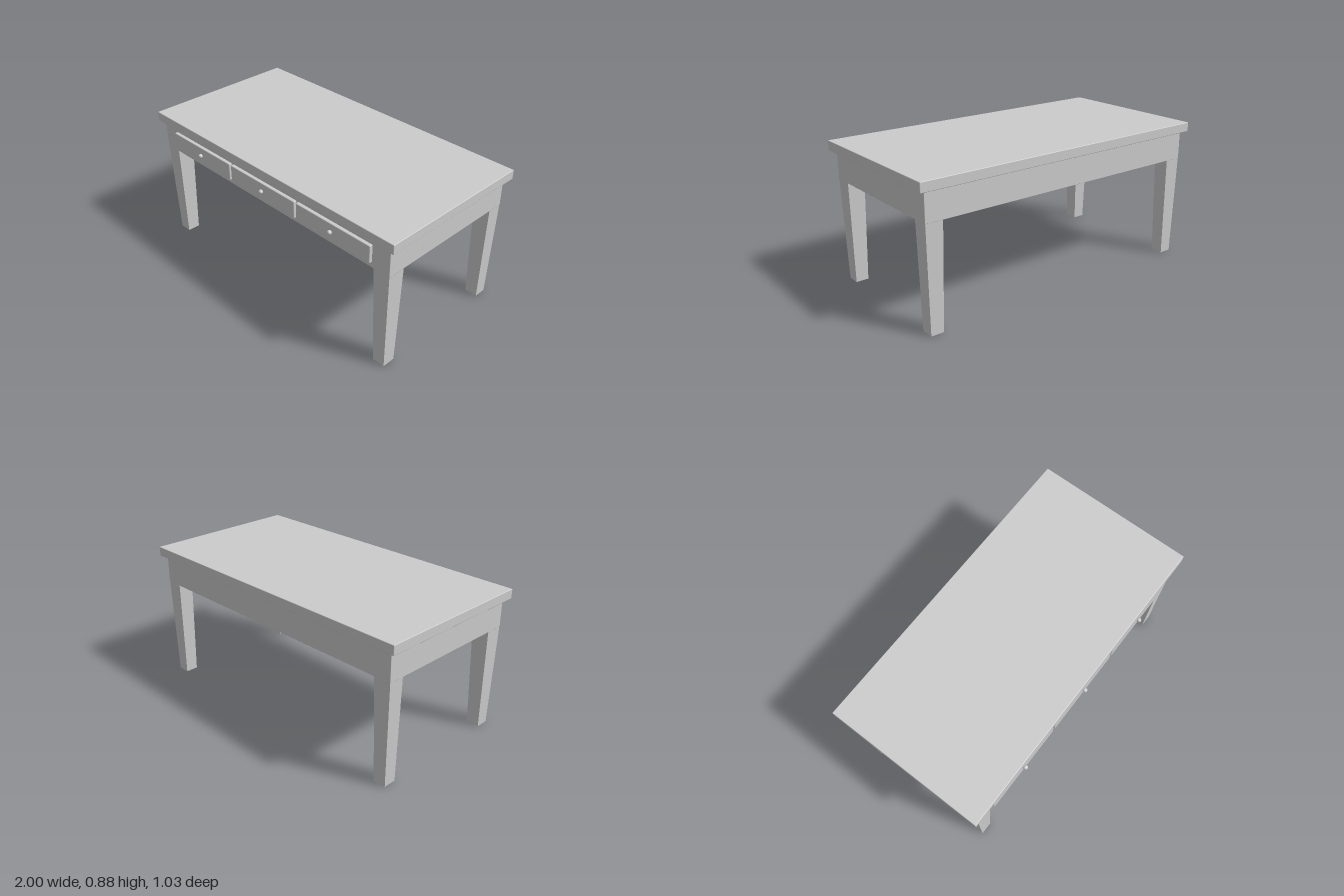
import * as THREE from 'three';
import { RoundedBoxGeometry } from 'three/addons/geometries/RoundedBoxGeometry.js';

const material = new THREE.MeshStandardMaterial({ color: 0xcccccc });

// Soft-edged box given by its minimum and maximum on each axis
function block(name, [x0, x1], [y0, y1], [z0, z1], radius) {
  const geometry = new RoundedBoxGeometry(x1 - x0, y1 - y0, z1 - z0, 2, radius);
  geometry.translate((x0 + x1) / 2, (y0 + y1) / 2, (z0 + z1) / 2);
  const mesh = new THREE.Mesh(geometry, material);
  mesh.name = name;
  return mesh;
}

// Leg whose cross-section narrows from top ranges to foot ranges
function taperedLeg(name, topX, topZ, footX, footZ, height) {
  const geometry = new RoundedBoxGeometry(1, height, 1, 2, 0.004);
  geometry.translate(0, height / 2, 0);
  const p = geometry.attributes.position;
  const { lerp } = THREE.MathUtils;
  for (let i = 0; i < p.count; i++) {
    const t = p.getY(i) / height;
    const place = (u, foot, top) => lerp(lerp(foot[0], foot[1], u + 0.5), lerp(top[0], top[1], u + 0.5), t);
    p.setX(i, place(p.getX(i), footX, topX));
    p.setZ(i, place(p.getZ(i), footZ, topZ));
  }
  geometry.computeVertexNormals();
  const mesh = new THREE.Mesh(geometry, material);
  mesh.name = name;
  return mesh;
}

export function createModel() {
  const table = new THREE.Group();
  table.name = 'table';

  // Top and the solid apron under it
  table.add(block('tableTop', [-1, 1], [0.82, 0.88], [-0.515, 0.5], 0.004));
  table.add(block('apron', [-0.961, 0.961], [0.643, 0.822], [-0.485, 0.473], 0.002));

  // Four tapered legs
  for (const side of [1, -1]) {
    const mirror = ([a, b]) => (side > 0 ? [a, b] : [-b, -a]);
    const name = side > 0 ? 'left' : 'right';
    const topX = mirror([0.852, 0.96]);
    const footX = mirror([0.865, 0.945]);
    table.add(taperedLeg(name + 'FrontLeg', topX, [0.36, 0.472], footX, [0.375, 0.457], 0.66));
    table.add(taperedLeg(name + 'BackLeg', topX, [-0.484, -0.386], footX, [-0.475, -0.395], 0.66));
  }

  // Three drawer fronts, each with a round knob on a short stem
  const drawers = [[-0.84, -0.29, -0.565], [-0.275, 0.275, 0.005], [0.29, 0.84, 0.56]];
  for (const [x0, x1, knobX] of drawers) {
    const drawer = new THREE.Group();
    drawer.name = 'drawer';
    drawer.add(block('drawerFront', [x0, x1], [0.675, 0.786], [0.465, 0.494], 0.005));

    const stem = new THREE.Mesh(new THREE.CylinderGeometry(0.006, 0.006, 0.02, 16), material);
    stem.name = 'knobStem';
    stem.rotation.x = Math.PI / 2;
    stem.position.set(knobX, 0.733, 0.494);
    const knob = new THREE.Mesh(new THREE.SphereGeometry(0.014, 20, 14), material);
    knob.name = 'knob';
    knob.position.set(knobX, 0.733, 0.502);
    drawer.add(stem, knob);
    table.add(drawer);
  }
  return table;
}
